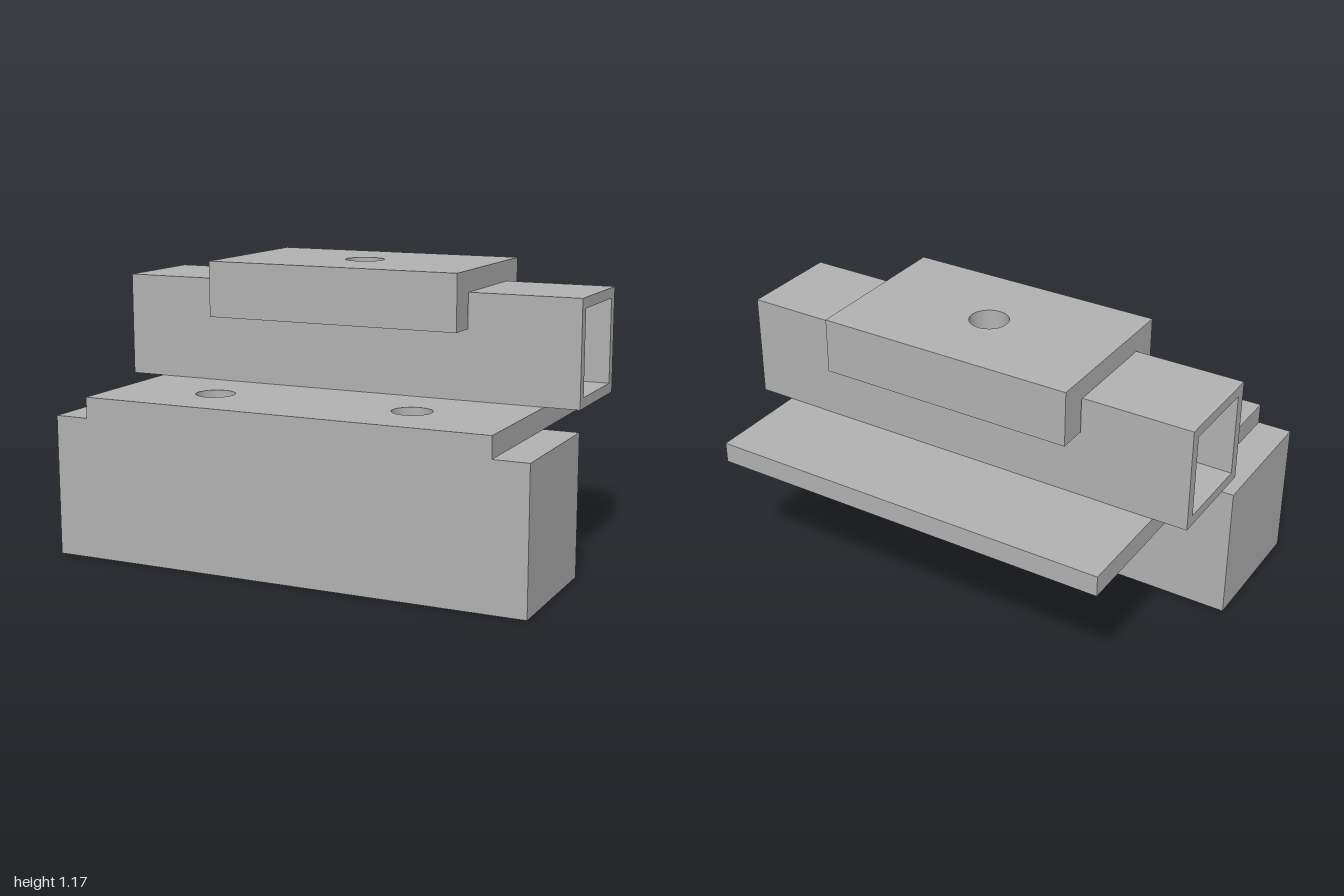
import * as THREE from 'three';
import { toCreasedNormals } from 'three/addons/utils/BufferGeometryUtils.js';

const steel = new THREE.MeshStandardMaterial({ color: 0xb2b2b2 });
steel.name = 'grey steel';

const BORE = 0.08; // radius of every bolt hole
const AXIS_Z = -0.071; // centre line of the tube and its bolt

function add(group, name, geometry) {
  const mesh = new THREE.Mesh(geometry, steel);
  mesh.name = name;
  group.add(mesh);
}

// Axis-aligned block given by its limits
function block([x0, x1], [y0, y1], [z0, z1]) {
  return new THREE.BoxGeometry(x1 - x0, y1 - y0, z1 - z0)
    .translate((x0 + x1) / 2, (y0 + y1) / 2, (z0 + z1) / 2);
}

// Raise a plan shape (drawn in x, -z) from y0 to y1
function raise(shape, [y0, y1]) {
  const g = new THREE.ExtrudeGeometry(shape, { depth: y1 - y0, bevelEnabled: false, curveSegments: 24 });
  return toCreasedNormals(g.rotateX(-Math.PI / 2).translate(0, y0, 0), 0.6);
}

function bore(shape, x, z) {
  shape.holes.push(new THREE.Path().absarc(x, -z, BORE, 0, Math.PI * 2, true));
}

// Flat plate with vertical holes at the given [x, z] points
function drilledPlate(halfX, ys, [z0, z1], holes) {
  const s = new THREE.Shape();
  s.moveTo(-halfX, -z1).lineTo(halfX, -z1).lineTo(halfX, -z0).lineTo(-halfX, -z0).closePath();
  holes.forEach(([x, z]) => bore(s, x, z));
  return raise(s, ys);
}

export function createModel() {
  const model = new THREE.Group();
  model.name = 'clampAssembly';
  const centre = [[0, AXIS_Z]];

  // Solid base and the cantilevered mounting plate
  add(model, 'baseBlock', block([-1, 1], [0, 0.574], [0.143, 0.714]));
  add(model, 'mountingPlate', drilledPlate(0.857, [0.574, 0.66], [-0.714, 0.714],
    [...centre, [-0.429, 0.429], [0.429, 0.429]]));

  // Square tube: drilled floor and roof, plain side walls
  const tube = new THREE.Group();
  tube.name = 'squareTube';
  add(tube, 'tubeFloor', drilledPlate(1, [0.66, 0.702], [-0.286, 0.143], centre));
  add(tube, 'tubeRoof', drilledPlate(1, [1.045, 1.088], [-0.286, 0.143], centre));
  add(tube, 'tubeFrontWall', block([-1, 1], [0.702, 1.045], [0.1, 0.143]));
  add(tube, 'tubeBackWall', block([-1, 1], [0.702, 1.045], [-0.286, -0.243]));
  model.add(tube);

  // Hollow spacer inside the tube
  const ring = new THREE.Shape().absarc(0, -AXIS_Z, 0.114, 0, Math.PI * 2, false);
  bore(ring, 0, AXIS_Z);
  add(model, 'spacerSleeve', raise(ring, [0.702, 1.045]));

  // Channel-shaped clamp cap straddling the tube
  const cap = new THREE.Group();
  cap.name = 'clampCap';
  add(cap, 'capTop', drilledPlate(0.543, [1.088, 1.174], [-0.414, 0.271], centre));
  add(cap, 'capFrontLip', block([-0.543, 0.543], [0.945, 1.088], [0.15, 0.271]));
  add(cap, 'capBackLip', block([-0.543, 0.543], [0.945, 1.088], [-0.414, -0.293]));
  model.add(cap);

  return model;
}
